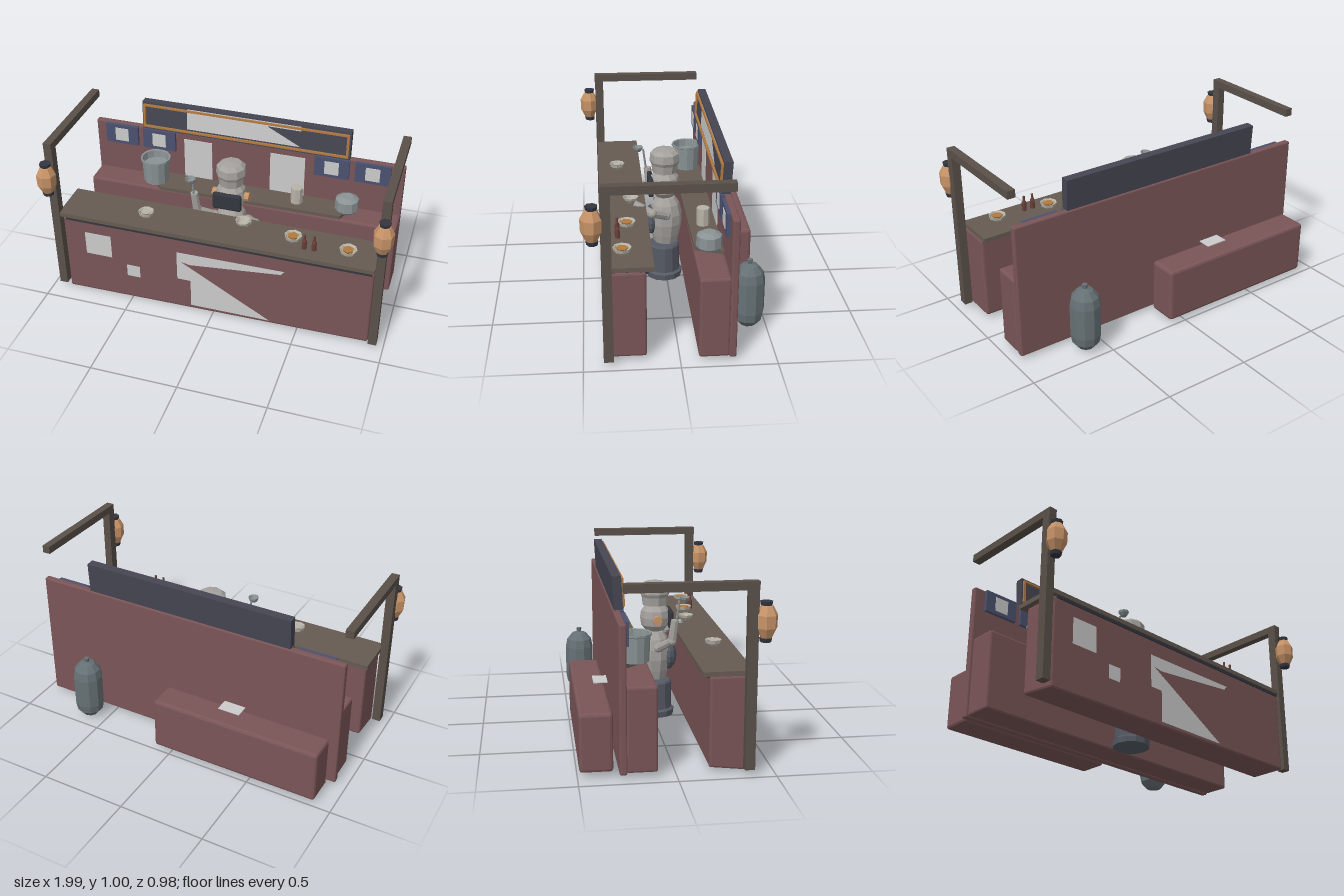
import * as THREE from 'three';
import { RoundedBoxGeometry } from 'three/addons/geometries/RoundedBoxGeometry.js';

const mat = (color, side = THREE.FrontSide) => new THREE.MeshStandardMaterial({ color, flatShading: true, side });
const M = {
  red: mat(0x7a5557), wood: mat(0x655b52), post: mat(0x5a5049), navy: mat(0x464653), blue: mat(0x4c5270),
  gold: mat(0xb07a40), pale: mat(0xcccccc), metal: mat(0x8a9294, THREE.DoubleSide), tank: mat(0x667175),
  robot: mat(0xa5a29e), steel: mat(0x555a64), dark: mat(0x34363f), lantern: mat(0xc89468),
  china: mat(0xb8b3a8, THREE.DoubleSide), bottle: mat(0x6a3f38), patch: mat(0xcccccc, THREE.DoubleSide),
};
const V = (p) => new THREE.Vector3(...p);

export function createModel() {
  const root = new THREE.Group();
  const add = (name, geo, m, x = 0, y = 0, z = 0, parent = root) => {
    const mesh = new THREE.Mesh(geo, m);
    mesh.name = name;
    mesh.position.set(x, y, z);
    parent.add(mesh);
    return mesh;
  };
  // Box given by its limits on each axis
  const box = (name, m, [x0, x1], [y0, y1], [z0, z1], parent) =>
    add(name, new THREE.BoxGeometry(x1 - x0, y1 - y0, z1 - z0), m, (x0 + x1) / 2, (y0 + y1) / 2, (z0 + z1) / 2, parent);
  const softBox = (name, m, [x0, x1], [y0, y1], [z0, z1], r = 0.012) =>
    add(name, new RoundedBoxGeometry(x1 - x0, y1 - y0, z1 - z0, 1, r), m, (x0 + x1) / 2, (y0 + y1) / 2, (z0 + z1) / 2);
  const lathe = (name, m, pts, sides, x, y, z, parent) =>
    add(name, new THREE.LatheGeometry(pts.map((p) => new THREE.Vector2(...p)), sides), m, x, y, z, parent);
  const flat = (name, m, pts, z, parent) =>
    add(name, new THREE.ShapeGeometry(new THREE.Shape(pts.map((p) => new THREE.Vector2(...p)))), m, 0, 0, z, parent);
  const rod = (name, m, a, b, r0, r1, sides = 8, parent = root) => {
    const d = V(b).sub(V(a));
    const mesh = add(name, new THREE.CylinderGeometry(r1, r0, d.length(), sides), m, 0, 0, 0, parent);
    mesh.position.copy(V(a)).addScaledVector(d, 0.5);
    mesh.quaternion.setFromUnitVectors(new THREE.Vector3(0, 1, 0), d.normalize());
    return mesh;
  };

  // Front counter, with one sagging lower corner
  const counter = softBox('frontCounter', M.red, [-0.9, 0.91], [0.025, 0.51], [0.17, 0.38]);
  const cp = counter.geometry.attributes.position;
  for (let i = 0; i < cp.count; i++)
    if (cp.getX(i) < 0 && cp.getY(i) < 0 && cp.getZ(i) > 0) cp.setY(i, cp.getY(i) - 0.022);
  box('frontCountertop', M.wood, [-0.92, 0.91], [0.515, 0.54], [0.13, 0.39]);
  box('counterTrim', M.dark, [-0.88, 0.9], [0.498, 0.515], [0.16, 0.386]);
  const patches = [
    [[-0.77, 0.28], [-0.61, 0.28], [-0.61, 0.43], [-0.77, 0.43]],
    [[-0.52, 0.17], [-0.44, 0.17], [-0.44, 0.25], [-0.52, 0.25]],
    [[-0.21, 0.35], [-0.13, 0.335], [0.4, 0.39], [0.42, 0.415], [-0.21, 0.41]],
    [[-0.21, 0.22], [-0.13, 0.22], [-0.13, 0.04], [0.34, 0.04], [-0.21, 0.36]],
  ];
  patches.forEach((p) => flat('counterPanel', M.patch, p, 0.384));

  // Back wall, back counter and its wooden top
  softBox('backWall', M.red, [-0.94, 0.95], [0.022, 0.8], [-0.29, -0.252], 0.008);
  softBox('backCounter', M.red, [-0.93, 0.95], [0.028, 0.48], [-0.255, -0.095]);
  const topShape = new THREE.Shape([[-0.62, 0.25], [-0.48, 0.085], [0.62, 0.1], [0.68, 0.25]].map((p) => new THREE.Vector2(...p)));
  const top = add('backCountertop', new THREE.ExtrudeGeometry(topShape, { depth: 0.022, bevelEnabled: false }), M.wood, 0, 0.502, 0);
  top.rotation.x = Math.PI / 2;
  top.scale.y = -1;
  top.material = mat(0x655b52, THREE.DoubleSide);

  // Wall panels and posters
  box('wallPanel', M.pale, [-0.375, -0.2], [0.5, 0.76], [-0.253, -0.248]);
  box('wallPanel', M.pale, [0.16, 0.37], [0.5, 0.76], [-0.253, -0.248]);
  for (const x of [-0.77, -0.53, 0.53, 0.77]) {
    box('poster', M.blue, [x - 0.103, x + 0.103], [0.67, 0.797], [-0.252, -0.233]);
    box('posterSheet', M.pale, [x - 0.042, x + 0.042], [0.69, 0.775], [-0.24, -0.23]);
  }

  // Leaning sign board with gilded frame
  const sign = new THREE.Group();
  sign.name = 'signBoard';
  sign.position.set(0, 0.89, -0.265);
  sign.rotation.x = -0.055;
  root.add(sign);
  box('signBody', M.navy, [-0.63, 0.63], [-0.088, 0.088], [-0.024, 0.024], sign);
  flat('signPanel', M.patch, [[-0.35, -0.052], [0.34, -0.052], [0.14, 0.05], [0.34, 0.05], [0.34, 0.08], [-0.35, 0.08]], 0.027, sign);
  for (const s of [-1, 1]) {
    box('signFrame', M.gold, [-0.62, 0.62], [s * 0.068 - 0.006, s * 0.068 + 0.006], [0.02, 0.036], sign);
    box('signFrame', M.gold, [s * 0.615 - 0.007, s * 0.615 + 0.007], [-0.07, 0.07], [0.02, 0.036], sign);
  }

  // Posts, roof beams and lanterns
  for (const s of [-1, 1]) {
    const x = s * 0.938;
    box('post', M.post, [x - 0.024, x + 0.024], [0.028, 0.96], [0.343, 0.395]);
    box('roofBeam', M.post, [x - 0.023, x + 0.023], [0.956, 1.0], [-0.267, 0.397]);
    const lx = s * 0.942;
    lathe('lantern', M.lantern, [[0, 0.71], [0.03, 0.715], [0.054, 0.765], [0.056, 0.83], [0.032, 0.875], [0, 0.88]], 7, lx, 0, 0.437);
    for (const y of [0.703, 0.888]) add('lanternCap', new THREE.CylinderGeometry(0.033, 0.029, 0.02, 7), M.dark, lx, y, 0.434);
  }

  // Gas tank and storage box behind the wall
  lathe('gasTank', M.tank, [[0, 0.012], [0.045, 0.022], [0.077, 0.06], [0.086, 0.11], [0.086, 0.29], [0.076, 0.34], [0.045, 0.378], [0.012, 0.388]], 10, 0.61, 0, -0.4);
  add('tankValve', new THREE.CylinderGeometry(0.016, 0.012, 0.035, 6), M.tank, 0.61, 0.394, -0.4);
  softBox('storageBox', M.red, [-0.9, 0.1], [0.028, 0.34], [-0.49, -0.318], 0.016);
  box('paperSheet', M.pale, [-0.385, -0.255], [0.34, 0.345], [-0.378, -0.3]);

  // Cookware on the back counter
  lathe('stockPot', M.metal, [[0, 0.5], [0.076, 0.502], [0.082, 0.64], [0.091, 0.645], [0.091, 0.657], [0.08, 0.655], [0.076, 0.61], [0, 0.61]], 12, -0.53, 0, -0.165);
  lathe('cookingPot', M.metal, [[0, 0.502], [0.06, 0.505], [0.07, 0.52], [0.068, 0.582], [0.05, 0.592], [0.035, 0.6], [0, 0.6]], 10, 0.645, 0, -0.175);
  add('canister', new THREE.CylinderGeometry(0.036, 0.036, 0.1, 8), M.china, 0.345, 0.552, -0.175);

  // Bowls and bottles on the front counter
  for (const [x, z, r] of [[-0.425, 0.275, 0.046], [0.43, 0.25, 0.05], [0.745, 0.285, 0.05]]) {
    lathe('bowl', M.china, [[0, 0.54], [r * 0.55, 0.54], [r * 0.9, 0.558], [r, 0.577], [r * 0.88, 0.575], [r * 0.7, 0.562], [0, 0.56]], 8, x, 0, z);
    add('bowlFood', new THREE.CylinderGeometry(r * 0.65, r * 0.5, 0.014, 6), x > 0 ? M.gold : M.china, x, 0.567, z);
  }
  for (const x of [0.505, 0.56])
    lathe('sauceBottle', M.bottle, [[0, 0.54], [0.014, 0.54], [0.014, 0.59], [0.007, 0.605], [0.007, 0.63], [0, 0.632]], 7, x, 0, 0.303);

  // Robot cook: pedestal, torso, head and hat
  const cook = new THREE.Group();
  cook.name = 'robotCook';
  root.add(cook);
  lathe('pedestal', M.steel, [[0, 0.026], [0.105, 0.026], [0.108, 0.06], [0.093, 0.07], [0.092, 0.225], [0.084, 0.236], [0, 0.236]], 12, 0, 0, 0.016, cook);
  lathe('torso', M.robot, [[0, 0.248], [0.07, 0.25], [0.083, 0.3], [0.096, 0.37], [0.096, 0.43], [0.08, 0.49], [0.055, 0.53], [0, 0.533]], 10, 0, 0, 0.006, cook);
  add('bellyPlate', new THREE.SphereGeometry(1, 10, 8), M.steel, 0, 0.385, 0.09, cook).scale.set(0.075, 0.088, 0.048);
  lathe('head', M.robot, [[0, 0.533], [0.055, 0.537], [0.082, 0.57], [0.088, 0.615], [0.082, 0.655], [0.058, 0.686], [0, 0.688]], 10, 0, 0, 0.012, cook);
  add('faceScreen', new RoundedBoxGeometry(0.17, 0.105, 0.03, 1, 0.012), M.dark, 0, 0.608, 0.095, cook);
  for (const s of [-1, 1]) add('ear', new THREE.CylinderGeometry(0.026, 0.026, 0.03, 8), M.lantern, s * 0.095, 0.61, 0.015, cook).rotation.z = Math.PI / 2;
  lathe('chefHat', M.robot, [[0, 0.685], [0.072, 0.687], [0.078, 0.735], [0.088, 0.755], [0.084, 0.8], [0.06, 0.82], [0, 0.826]], 9, 0, 0, 0.01, cook);

  // Arms: the left one serves a bowl, the right one raises a ladle
  const arm = (pts) => {
    for (let i = 0; i < pts.length - 1; i++) rod('arm', M.robot, pts[i], pts[i + 1], 0.025, 0.022, 8, cook);
    pts.slice(0, -1).forEach((p) => add('armJoint', new THREE.IcosahedronGeometry(0.027, 1), M.robot, ...p, cook));
  };
  arm([[0.105, 0.45, 0.01], [0.17, 0.495, 0.095], [0.135, 0.545, 0.195]]);
  arm([[-0.1, 0.45, 0.02], [-0.185, 0.51, 0.085], [-0.195, 0.635, 0.1]]);
  const cup = [[0, -0.02], [0.55, -0.016], [0.9, 0.004], [1, 0.018], [0.9, 0.018], [0.6, -0.004], [0, -0.008]];
  lathe('servingBowl', M.china, cup.map(([r, y]) => [r * 0.045, y]), 8, 0.132, 0.572, 0.215, cook);
  rod('ladleHandle', M.metal, [-0.195, 0.56, 0.1], [-0.195, 0.75, 0.124], 0.006, 0.006, 6, cook);
  lathe('ladleCup', M.metal, cup.map(([r, y]) => [r * 0.031, y * 0.85]), 8, -0.195, 0.752, 0.155, cook);
  return root;
}
